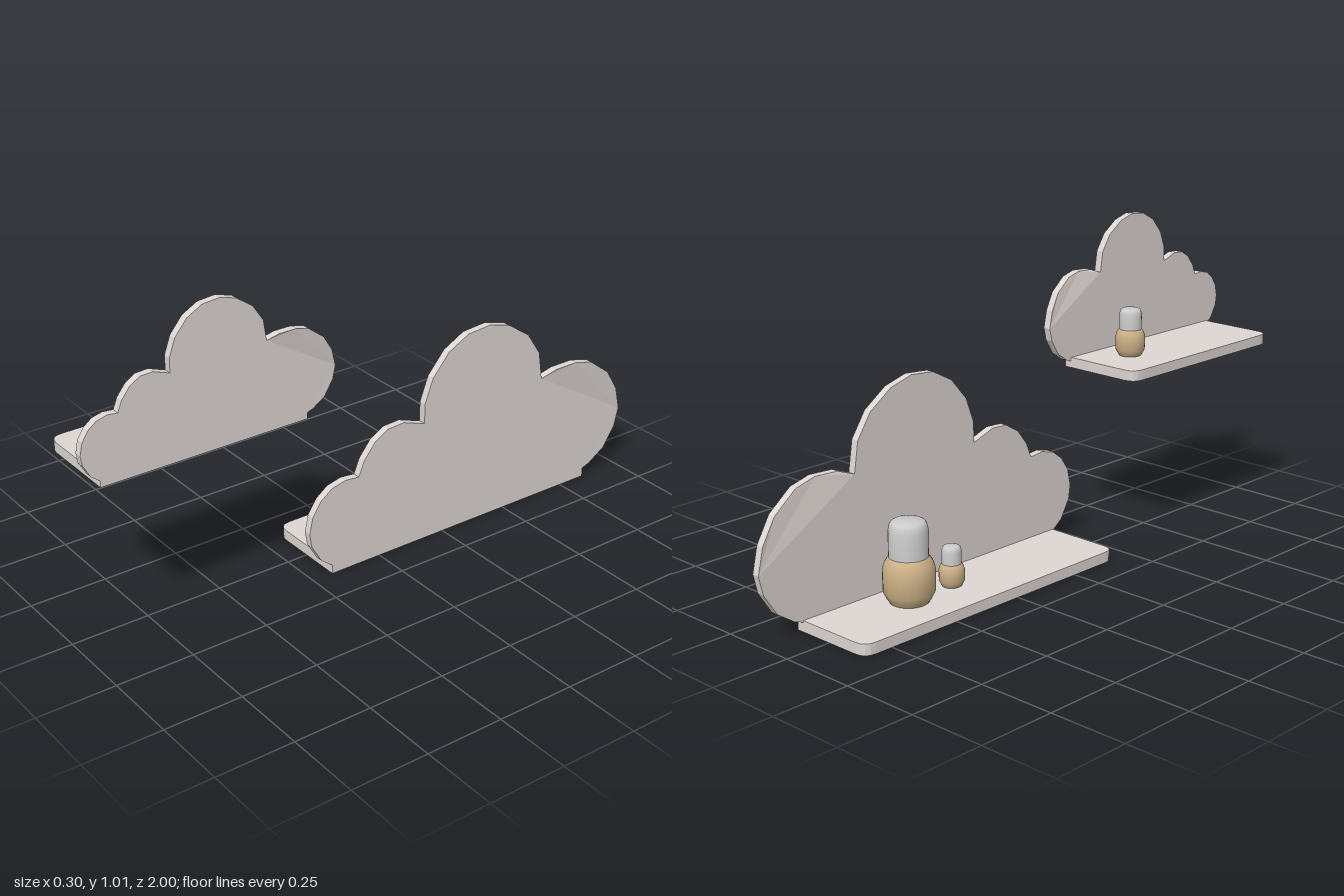
import * as THREE from 'three';
import { toCreasedNormals } from 'three/addons/utils/BufferGeometryUtils.js';

const mat = (color) => new THREE.MeshStandardMaterial({ color });
const board = mat(0xddd6d2), wood = mat(0xcdb187), pale = mat(0xdedada);

// Cloud outline as (z, y), four lobes above a straight base
const OUTLINE = [
  [0.18, 0], [0.18, 0.03],
  [0.22, 0.06], [0.255, 0.12], [0.262, 0.165], [0.25, 0.22], [0.22, 0.265], [0.18, 0.295], [0.13, 0.307], [0.08, 0.302],
  [0.06, 0.35], [0.02, 0.40], [-0.03, 0.43], [-0.09, 0.433], [-0.17, 0.405],
  [-0.17, 0.47], [-0.2, 0.55], [-0.26, 0.62], [-0.335, 0.66], [-0.42, 0.667], [-0.5, 0.645], [-0.58, 0.59], [-0.63, 0.515], [-0.645, 0.42],
  [-0.7, 0.44], [-0.78, 0.443], [-0.85, 0.425], [-0.93, 0.365], [-0.98, 0.29], [-1, 0.21], [-0.985, 0.15], [-0.94, 0.08], [-0.88, 0.04],
  [-0.85, 0.03], [-0.85, 0],
];
const BACK = 0.135, THICK = 0.025, FRONT = -0.15;

function add(parent, name, geometry, material) {
  const mesh = new THREE.Mesh(geometry, material);
  mesh.name = name;
  parent.add(mesh);
  return mesh;
}

// Upright cloud panel; the top of its last lobe bows slightly outward
function cloudPanel(mapZ, mapY) {
  const shape = new THREE.Shape(OUTLINE.map(([z, y]) => new THREE.Vector2(-mapZ(z), mapY(y))));
  const g = new THREE.ExtrudeGeometry(shape, { depth: THICK, bevelEnabled: false });
  g.rotateY(Math.PI / 2).translate(BACK - THICK, 0, 0);
  const p = g.attributes.position;
  const [zIn, zOut, y0, yTop] = [mapZ(-0.66), mapZ(-1), mapY(0.05), mapY(0.44)];
  for (let i = 0; i < p.count; i++) {
    const t = (zIn - p.getZ(i)) / (zIn - zOut);
    if (t <= 0) continue;
    const lift = THREE.MathUtils.clamp((p.getY(i) - y0) / (yTop - y0), 0, 1);
    const side = Math.min(1, t * 6, (1 - t) * 4);
    p.setX(i, p.getX(i) + 0.012 * lift * side);
  }
  g.computeVertexNormals();
  return g;
}

// Shelf board with its two outer corners rounded
function shelfBoard(zMin, zMax, y, thickness) {
  const r = 0.04, x1 = BACK - 0.001;
  const s = new THREE.Shape();
  s.moveTo(x1, -zMax);
  s.lineTo(x1, -zMin);
  s.lineTo(FRONT + r, -zMin);
  s.quadraticCurveTo(FRONT, -zMin, FRONT, -zMin - r);
  s.lineTo(FRONT, -zMax + r);
  s.quadraticCurveTo(FRONT, -zMax, FRONT + r, -zMax);
  const g = new THREE.ExtrudeGeometry(s, { depth: thickness, bevelEnabled: false, curveSegments: 4 });
  return g.rotateX(-Math.PI / 2).translate(0, y, 0);
}

// Turned peg figure: round wooden body with a pale rounded head
function pegFigure(name, y, z, scale) {
  const lathe = (pts) => toCreasedNormals(
    new THREE.LatheGeometry(pts.map(([r, h]) => new THREE.Vector2(r, h)), 24), 0.6);
  const peg = new THREE.Group();
  peg.name = name;
  add(peg, 'body', lathe([[0, 0], [0.058, 0], [0.066, 0.012], [0.077, 0.034], [0.078, 0.1],
    [0.071, 0.122], [0.061, 0.138], [0.059, 0.14], [0, 0.14]]), wood);
  add(peg, 'head', lathe([[0.059, 0.138], [0.059, 0.218], [0.055, 0.236], [0.05, 0.244],
    [0.043, 0.248], [0, 0.248]]), pale);
  peg.position.set(0, y, z);
  peg.scale.setScalar(scale);
  return peg;
}

function cloudShelf(name, mapZ, mapY, thickness) {
  const shelf = new THREE.Group();
  shelf.name = name;
  add(shelf, 'cloudPanel', cloudPanel(mapZ, mapY), board);
  add(shelf, 'shelfBoard', shelfBoard(mapZ(-0.85), mapZ(0.18), mapY(0), thickness), board);
  return shelf;
}

export function createModel() {
  const model = new THREE.Group();
  model.name = 'cloudShelves';

  const large = cloudShelf('largeCloudShelf', (z) => z, (y) => y, 0.035);
  large.add(pegFigure('largePeg', 0.035, -0.545, 1), pegFigure('smallPeg', 0.035, -0.375, 0.5));

  const small = cloudShelf('smallCloudShelf',
    (z) => 1 - (0.262 - z) * 0.6617, (y) => 0.555 + y * 0.68, 0.033);
  small.add(pegFigure('mediumPeg', 0.588, 0.42, 0.605));

  model.add(large, small);
  return model;
}
